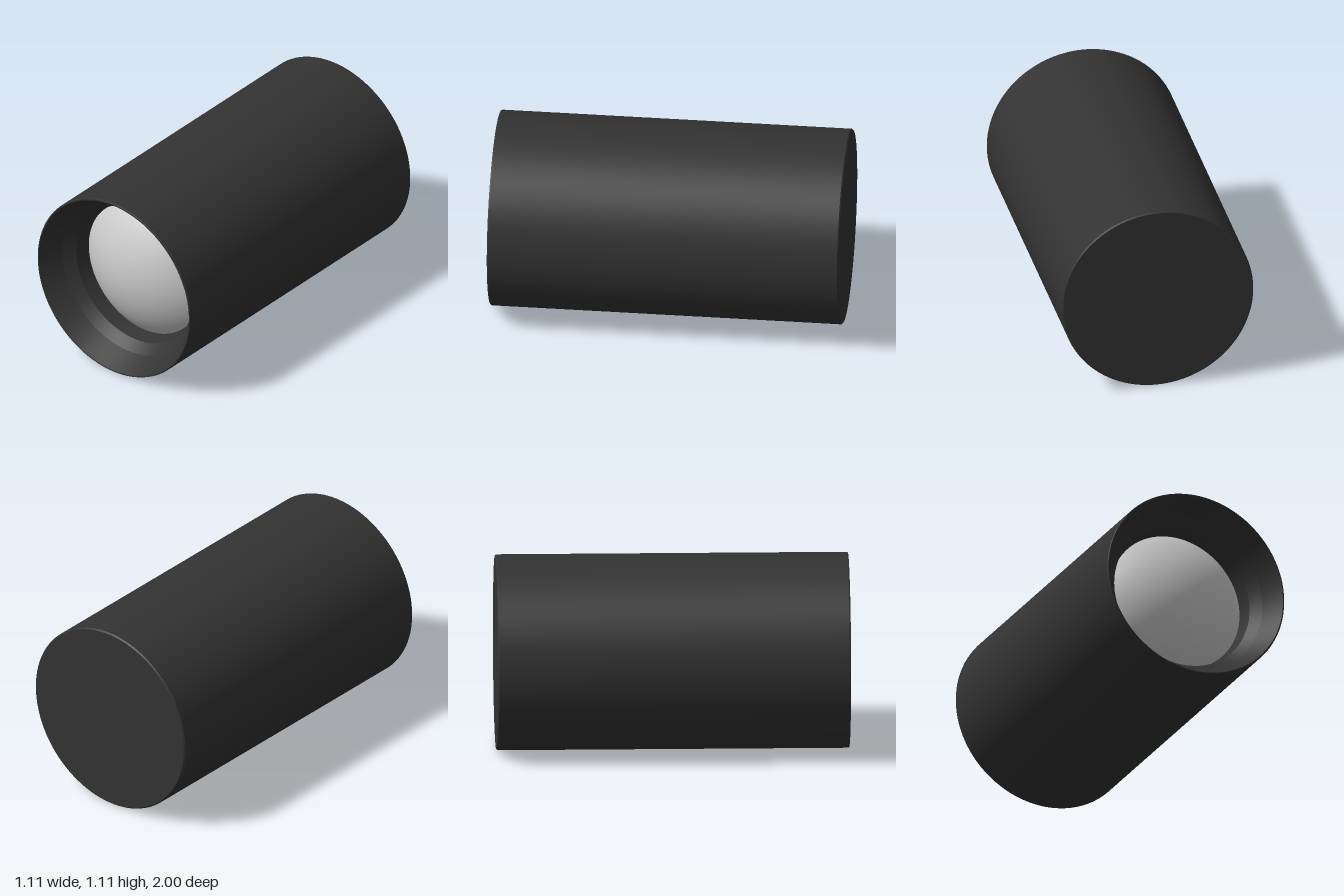
import * as THREE from 'three';
import { toCreasedNormals } from 'three/addons/utils/BufferGeometryUtils.js';

const AXIS_HEIGHT = 0.555;
const SEGMENTS = 96;

export function createModel() {
  const model = new THREE.Group();
  model.name = 'cylindricalLamp';

  const housingMaterial = new THREE.MeshStandardMaterial({ color: 0x333333 });
  housingMaterial.name = 'dark grey housing';
  const lensMaterial = new THREE.MeshStandardMaterial({ color: 0xcccccc });
  lensMaterial.name = 'pale grey lens';

  // Housing: closed back, straight wall, thin bevelled rim and stepped funnel
  const profile = [
    [0, -1], [0.548, -1], [0.555, -0.993],
    [0.555, 0.993], [0.552, 1], [0.545, 1],
    [0.475, 0.87], [0.425, 0.81], [0.403, 0.71], [0.4, 0.69],
  ].map(([radius, z]) => new THREE.Vector2(radius, z));
  const housingGeometry = toCreasedNormals(
    new THREE.LatheGeometry(profile, SEGMENTS), THREE.MathUtils.degToRad(9));
  housingGeometry.rotateX(Math.PI / 2);
  const housing = new THREE.Mesh(housingGeometry, housingMaterial);
  housing.name = 'housing';
  housing.position.y = AXIS_HEIGHT;
  model.add(housing);

  // Lens: convex spherical cap seated at the bottom of the funnel
  const lensRadius = 0.6;
  const edgeRadius = 0.406;
  const edgeAngle = Math.asin(edgeRadius / lensRadius);
  const lensGeometry = new THREE.SphereGeometry(
    lensRadius, SEGMENTS, 24, 0, Math.PI * 2, 0, edgeAngle);
  lensGeometry.rotateX(Math.PI / 2);
  const lens = new THREE.Mesh(lensGeometry, lensMaterial);
  lens.name = 'lens';
  lens.position.set(0, AXIS_HEIGHT, 0.72 - lensRadius * Math.cos(edgeAngle));
  model.add(lens);

  return model;
}
